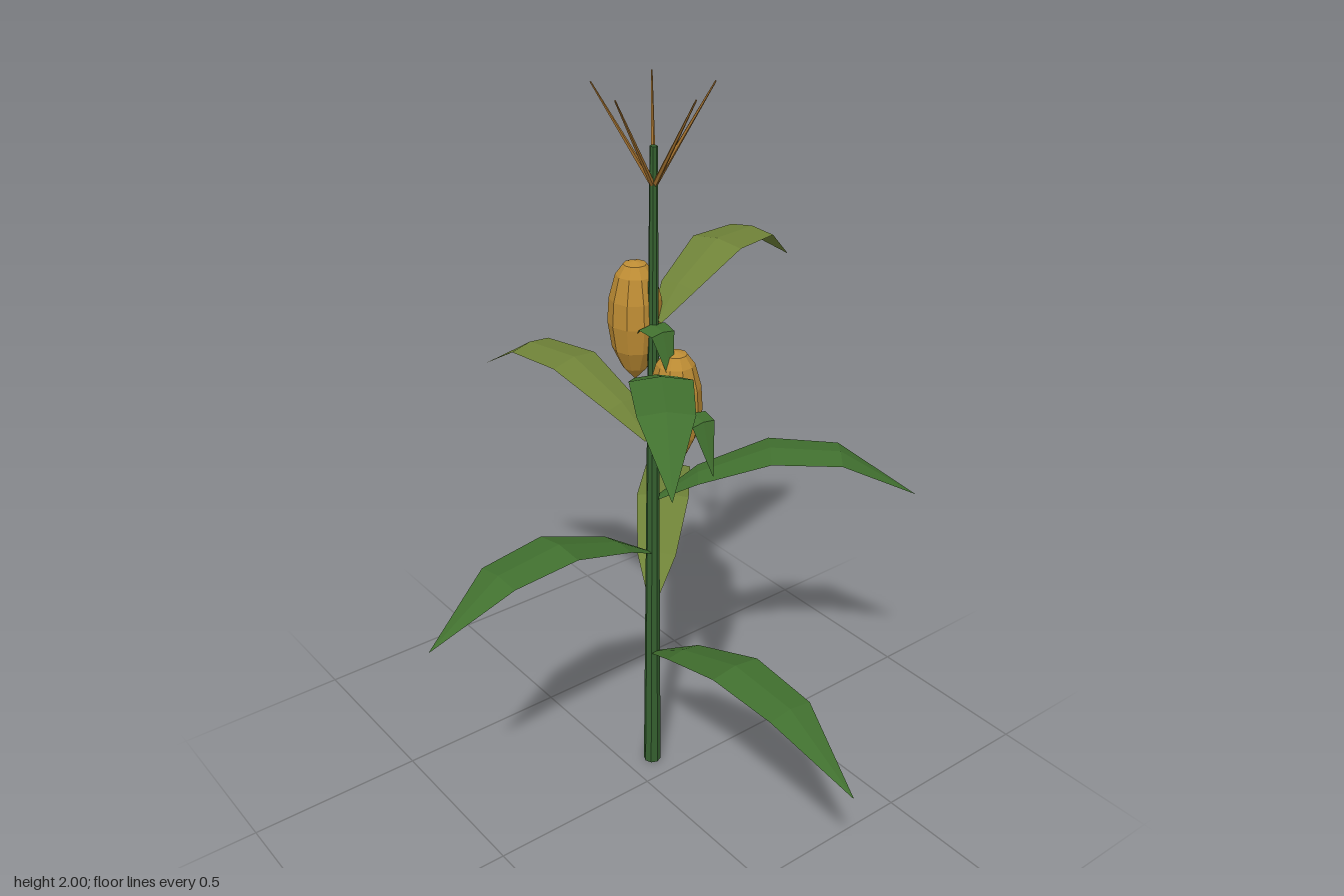
import * as THREE from 'three';

const mat = (name, color, side = THREE.FrontSide) => {
  const m = new THREE.MeshStandardMaterial({ color, side, flatShading: true });
  m.name = name;
  return m;
};

const GOLDEN = THREE.MathUtils.degToRad(137.2);

// Folded blade along +x: rows are [reach, height, half width]; the edges droop below the midrib
function bladeGeometry(rows, fold) {
  const pos = [], idx = [];
  for (const [x, y, w] of rows) {
    const drop = w * fold;
    pos.push(x, y - drop, -w, x, y, 0, x, y - drop, w);
  }
  for (let i = 0; i < rows.length - 1; i++) {
    for (let j = 0; j < 2; j++) {
      const a = i * 3 + j, b = a + 1, c = a + 3, d = a + 4;
      idx.push(a, b, c, b, d, c);
    }
  }
  const g = new THREE.BufferGeometry();
  g.setAttribute('position', new THREE.Float32BufferAttribute(pos, 3));
  g.setIndex(idx);
  const flat = g.toNonIndexed();
  flat.computeVertexNormals();
  return flat;
}

export function createModel() {
  const root = new THREE.Group();
  root.name = 'cornPlant';

  const stalkMat = mat('stalkGreen', 0x35602f);
  const greenMat = mat('leafGreen', 0x41702f, THREE.DoubleSide);
  const oliveMat = mat('leafOlive', 0x6f8238, THREE.DoubleSide);
  const cobMat = mat('cobGold', 0xbd8c34);
  const tasselMat = mat('tasselBrown', 0x9c6c2c);

  // Everything grows around the stalk axis
  const plant = new THREE.Group();
  plant.name = 'plant';
  plant.position.set(-0.077, 0, -0.078);
  root.add(plant);

  const add = (parent, name, geometry, material, x = 0, y = 0, z = 0) => {
    const m = new THREE.Mesh(geometry, material);
    m.name = name;
    m.position.set(x, y, z);
    parent.add(m);
    return m;
  };

  // Stalk
  add(plant, 'stalk', new THREE.CylinderGeometry(0.01, 0.025, 1.86, 8), stalkMat, 0, 0.93, 0);

  // Leaves spiral up the stalk, each shorter than the last
  const olive = [1, 4, 6];
  for (let i = 0; i < 7; i++) {
    const reach = 0.81 - i * 0.036;
    const rows = [
      [0.015, 0, 0.015],
      [reach * 0.17, 0.075, 0.055],
      [reach * 0.44, 0.15, 0.077],
      [reach * 0.705, 0.14, 0.068],
      [reach, 0.012, 0.001],
    ];
    const leaf = add(plant, 'leaf' + (i + 1), bladeGeometry(rows, 0.15),
      olive.includes(i) ? oliveMat : greenMat, 0, 0.4 + i * 0.168, 0);
    leaf.rotation.y = i * GOLDEN;
  }

  // Cobs, each with two drooping husk blades
  const cobProfile = [
    [0, -0.162], [0.034, -0.125], [0.06, -0.07], [0.071, 0], [0.067, 0.065], [0.05, 0.128], [0.03, 0.155], [0, 0.163],
  ].map(([r, y]) => new THREE.Vector2(r, y));
  const cobGeometry = new THREE.LatheGeometry(cobProfile, 10);
  const huskGeometry = bladeGeometry([
    [0.02, -0.08, 0.01],
    [0.04, -0.02, 0.03],
    [0.07, 0.015, 0.042],
    [0.115, 0.008, 0.036],
    [0.158, -0.13, 0.001],
  ], 0.15);
  [[0.06, 1.182, -0.025], [-0.065, 1.393, 0.008]].forEach(([x, y, z], i) => {
    const ear = new THREE.Group();
    ear.name = 'ear' + (i + 1);
    ear.position.set(x, y, z);
    plant.add(ear);
    add(ear, 'cob', cobGeometry, cobMat);
    [greenMat, oliveMat].forEach((m, k) => {
      add(ear, 'husk' + (k + 1), huskGeometry, m).rotation.y = k * GOLDEN;
    });
  });

  // Tassel of five tapered strands
  const up = new THREE.Vector3(0, 1, 0);
  const base = new THREE.Vector3(0, 1.76, 0);
  for (let i = 0; i < 5; i++) {
    const a = (i / 5) * Math.PI * 2;
    const tip = new THREE.Vector3(Math.cos(a) * 0.155, 2, Math.sin(a) * 0.155);
    const dir = tip.clone().sub(base);
    const strand = add(plant, 'tasselStrand' + (i + 1),
      new THREE.CylinderGeometry(0.002, 0.007, dir.length(), 5), tasselMat);
    strand.position.copy(base).add(tip).multiplyScalar(0.5);
    strand.quaternion.setFromUnitVectors(up, dir.normalize());
  }

  return root;
}
